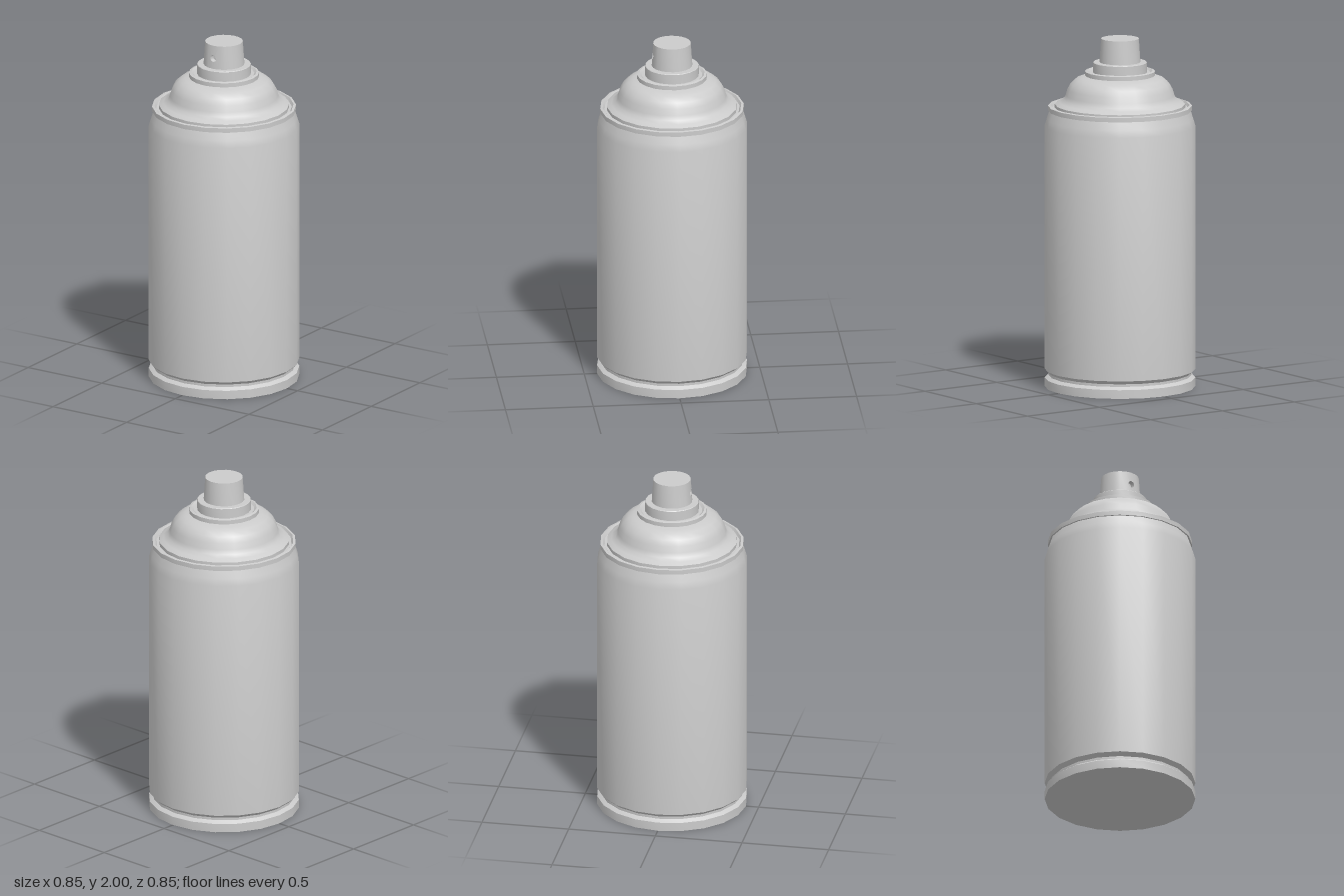
import * as THREE from 'three';
import { toCreasedNormals, mergeGeometries } from 'three/addons/utils/BufferGeometryUtils.js';

const SIDES = 20;
const STEP = (Math.PI * 2) / SIDES;
const material = new THREE.MeshStandardMaterial({ color: 0xcccccc, side: THREE.DoubleSide });

function mesh(name, geometry, crease = 0.6) {
  const m = new THREE.Mesh(toCreasedNormals(geometry, crease), material);
  m.name = name;
  return m;
}

// Turned part from [radius, height] pairs, listed bottom to top
function turned(profile, phiStart = 0, sides = SIDES) {
  const points = profile.map(([r, y]) => new THREE.Vector2(r, y));
  const g = new THREE.LatheGeometry(points, sides, phiStart, sides * STEP);
  g.deleteAttribute('uv');
  return g;
}

// Nozzle dimensions
const Y0 = 1.865, Y1 = 2, R0 = 0.116, R1 = 0.107;
const HOLE_Y = 1.925, HOLE_R = 0.02, HOLE_DEPTH = 0.03;

// One front facet of the nozzle with half of the spray hole cut from its edge
function holedFacet(side) {
  const shape = new THREE.Shape();
  shape.moveTo(0, Y0);
  shape.lineTo(1, Y0);
  shape.lineTo(1, Y1);
  shape.lineTo(0, Y1);
  const width = R0 * Math.sin(STEP);
  for (let i = 0; i <= 8; i++) {
    const a = Math.PI / 2 - (i / 8) * Math.PI;
    shape.lineTo((Math.cos(a) * HOLE_R) / width, HOLE_Y + Math.sin(a) * HOLE_R);
  }
  const g = new THREE.ShapeGeometry(shape);
  const p = g.attributes.position;
  for (let i = 0; i < p.count; i++) {
    const t = p.getX(i), y = p.getY(i);
    const r = THREE.MathUtils.mapLinear(y, Y0, Y1, R0, R1);
    p.setXYZ(i, side * t * r * Math.sin(STEP), y, r * (1 - t * (1 - Math.cos(STEP))));
  }
  // Mirrored facet needs its winding reversed
  if (side < 0) g.index.array.reverse();
  g.computeVertexNormals();
  g.deleteAttribute('uv');
  return g;
}

export function createModel() {
  const can = new THREE.Group();
  can.name = 'sprayCan';

  // Foot ring, groove, straight wall and tapered shoulder
  can.add(mesh('body', turned([
    [0, 0], [0.427, 0], [0.427, 0.05], [0.405, 0.065], [0.405, 0.08],
    [0.427, 0.1], [0.427, 1.5], [0.415, 1.54], [0.4, 1.587],
  ])));

  // Rolled seam with a shallow trough inside it
  can.add(mesh('rim', turned([
    [0.395, 1.587], [0.409, 1.587], [0.409, 1.613], [0.395, 1.616],
    [0.385, 1.602], [0.37, 1.602],
  ])));

  // Domed top
  can.add(mesh('dome', turned([
    [0.37, 1.602], [0.37, 1.622], [0.345, 1.636], [0.32, 1.65], [0.308, 1.675],
    [0.298, 1.71], [0.28, 1.742], [0.25, 1.768], [0.22, 1.779], [0.18, 1.786],
  ]), 0.9));

  // Valve cup lip
  can.add(mesh('valveCup', turned([
    [0.18, 1.786], [0.199, 1.788], [0.199, 1.812], [0.185, 1.816],
    [0.172, 1.806], [0.153, 1.806],
  ])));
  can.add(mesh('nozzleBase', turned([
    [0.153, 1.8], [0.153, 1.862], [0.15, Y0], [0.11, Y0],
  ])));

  // Spray button
  const nozzle = new THREE.Group();
  nozzle.name = 'nozzle';
  nozzle.add(mesh('nozzleWall', mergeGeometries([
    turned([[R0, Y0], [R1, Y1]], STEP, SIDES - 2),
    holedFacet(1),
    holedFacet(-1),
  ])));
  nozzle.add(mesh('nozzleTop', turned([[R1, Y1], [0, Y1]])));

  // Recessed spray hole facing the front
  const hole = mesh('sprayHole', new THREE.LatheGeometry([
    new THREE.Vector2(0, -HOLE_DEPTH),
    new THREE.Vector2(HOLE_R, -HOLE_DEPTH),
    new THREE.Vector2(HOLE_R, 0),
  ], 16));
  hole.rotation.x = Math.PI / 2;
  hole.position.set(0, HOLE_Y, 0.11);
  nozzle.add(hole);
  can.add(nozzle);

  return can;
}
